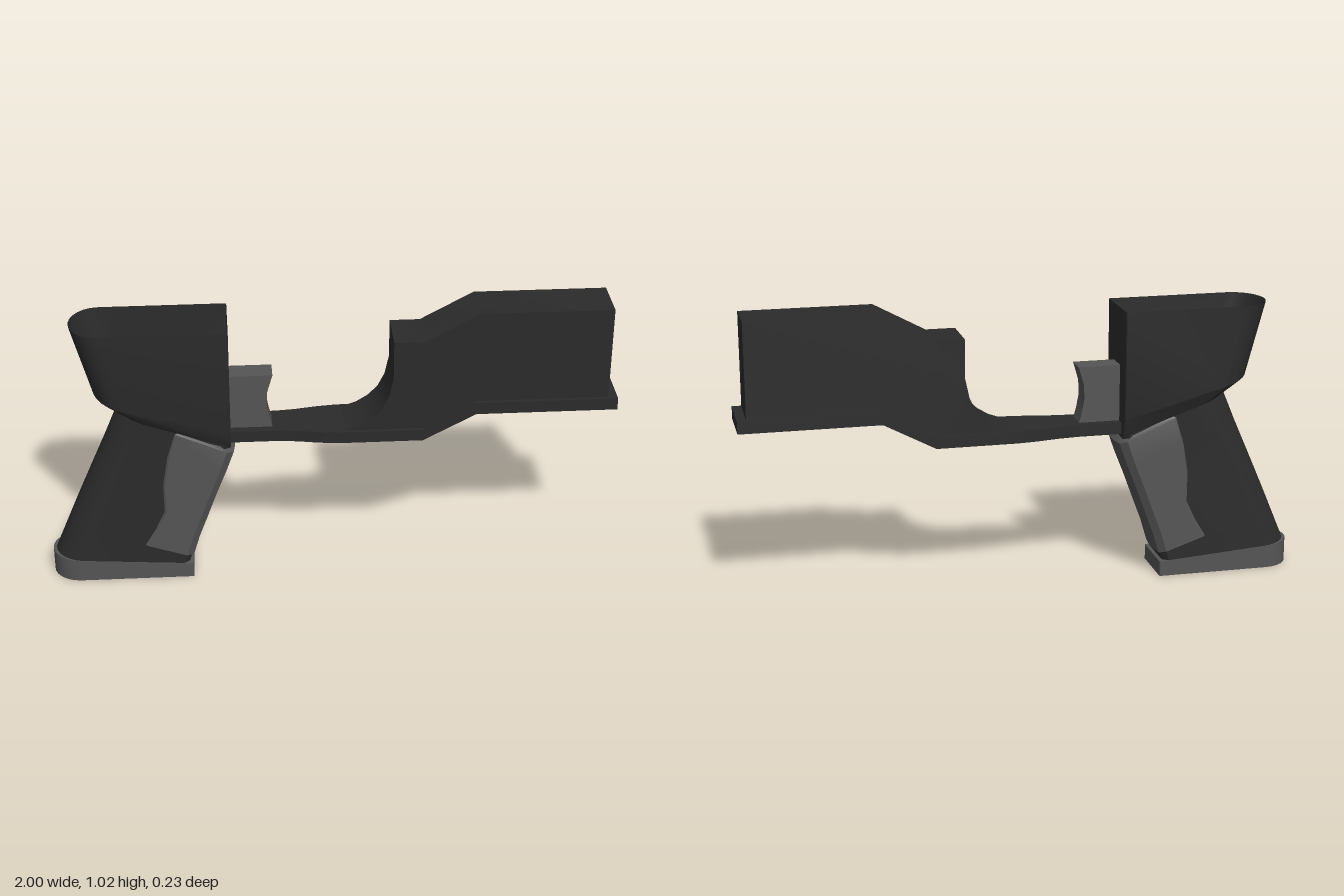
import * as THREE from 'three';
import { toCreasedNormals } from 'three/addons/utils/BufferGeometryUtils.js';

const dark = new THREE.MeshStandardMaterial({ color: 0x2b2b2b, side: THREE.DoubleSide });
const grey = new THREE.MeshStandardMaterial({ color: 0x555555, side: THREE.DoubleSide });

// Skin a list of equal-length rings of [x, y, z]; rings run clockwise seen along the loft.
function loft(rings, { closed = true, caps = false, crease = 0.55 } = {}) {
  const n = rings[0].length, pos = rings.flat(2), idx = [];
  for (let i = 0; i < rings.length - 1; i++) {
    for (let j = 0; j < (closed ? n : n - 1); j++) {
      const a = i * n + j, b = i * n + (j + 1) % n;
      idx.push(a, b, a + n, b, b + n, a + n);
    }
  }
  if (caps) {
    [0, rings.length - 1].forEach((r) => {
      const c = pos.length / 3;
      for (let k = 0; k < 3; k++) pos.push(rings[r].reduce((s, p) => s + p[k], 0) / n);
      for (let j = 0; j < n; j++) {
        const a = r * n + j, b = r * n + (j + 1) % n;
        if (r === 0) idx.push(c, b, a);
        else idx.push(c, a, b);
      }
    });
  }
  const geo = new THREE.BufferGeometry();
  geo.setAttribute('position', new THREE.Float32BufferAttribute(pos, 3));
  geo.setIndex(idx);
  return toCreasedNormals(geo, crease);
}

// D-shaped slanted ring: round at the rear (-x), flat at the front with small chamfers.
function dRing([xr, yr, xf, yf, w, depth, chamfer = 0.003]) {
  const pts = [[xf, w - chamfer], [xf - chamfer, w]];
  for (let i = 0; i <= 12; i++) {
    const t = (i / 12) * Math.PI;
    pts.push([xr + depth * (1 - Math.sin(t)), w * Math.cos(t)]);
  }
  pts.push([xf - chamfer, -w], [xf, -w + chamfer]);
  return pts.map(([x, z]) => [x, yr + (yf - yr) * (x - xr) / (xf - xr), z]);
}

// U-shaped ring that wraps the front of the grip.
function uRing([xr, yr, xf, yf, w]) {
  const half = [[xr, w - 0.015], [xr + 0.012, w], [xf - 0.03, w], [xf - 0.006, w - 0.02], [xf, 0.03]];
  const pts = [...half.map(([x, z]) => [x, -z]), ...half.slice().reverse()];
  return pts.map(([x, z]) => [x, yr + (yf - yr) * (x - xr) / (xf - xr), z]);
}

// Side profile extruded symmetrically about z = 0.
function slab(points, halfWidth) {
  const shape = new THREE.Shape(points.map(([x, y]) => new THREE.Vector2(x, y)));
  const geo = new THREE.ExtrudeGeometry(shape, { depth: 2 * halfWidth, bevelEnabled: false });
  geo.translate(0, 0, -halfWidth);
  return toCreasedNormals(geo, 0.5);
}

export function createModel() {
  const group = new THREE.Group();
  const add = (name, geo, material) => {
    const mesh = new THREE.Mesh(geo, material);
    mesh.name = name;
    group.add(mesh);
  };

  // Open-topped rear housing: [rear x, rear y, front x, front y, half width, rear rounding]
  add('rearHousing', loft([
    [-0.89, 0.99, -0.35, 0.99, 0.115, 0.1],
    [-0.82, 0.73, -0.35, 0.60, 0.115, 0.1],
    [-0.74, 0.67, -0.35, 0.535, 0.096, 0.1],
  ].map(dRing), { crease: 0.4 }), dark);

  // Hollow raked grip
  add('grip', loft([
    [-0.74, 0.67, -0.35, 0.535, 0.096, 0.1, 0.02],
    [-0.79, 0.55, -0.37, 0.47, 0.093, 0.1, 0.02],
    [-0.856, 0.40, -0.415, 0.36, 0.092, 0.1, 0.02],
    [-0.908, 0.28, -0.45, 0.26, 0.092, 0.1, 0.02],
    [-0.99, 0.085, -0.51, 0.05, 0.094, 0.1, 0.02],
  ].map(dRing)), dark);

  // Raised pad around the front of the grip
  add('gripPad', loft([
    [-0.535, 0.612, -0.385, 0.56, 0.09],
    [-0.552, 0.60, -0.335, 0.505, 0.1],
    [-0.58, 0.50, -0.362, 0.43, 0.1],
    [-0.598, 0.39, -0.398, 0.34, 0.1],
    [-0.597, 0.28, -0.435, 0.24, 0.1],
    [-0.63, 0.21, -0.465, 0.16, 0.1],
    [-0.67, 0.145, -0.488, 0.083, 0.1],
    [-0.655, 0.135, -0.51, 0.075, 0.088],
  ].map(uRing), { closed: false, crease: 0.45 }), grey);

  // Base plate of the grip
  add('gripBase', loft([
    [-1, 0.09, -0.495, 0.055, 0.096, 0.1],
    [-1, 0, -0.495, 0, 0.096, 0.1],
  ].map(dRing), { caps: true }), grey);

  // Trigger with a concave front
  add('trigger', slab([
    [-0.39, 0.57], [-0.2, 0.57], [-0.213, 0.62], [-0.222, 0.67],
    [-0.219, 0.72], [-0.2, 0.785], [-0.39, 0.785],
  ], 0.04), grey);

  // Lower rail: [x, bottom, top, half width]
  add('lowerRail', loft([
    [-0.47, 0.54, 0.582, 0.07],
    [-0.19, 0.54, 0.582, 0.07],
    [-0.12, 0.54, 0.582, 0.077],
    [-0.04, 0.54, 0.582, 0.092],
    [0.03, 0.54, 0.582, 0.1],
    [0.32, 0.54, 0.582, 0.1],
    [0.505, 0.638, 0.682, 0.1],
    [1, 0.638, 0.682, 0.1],
  ].map(([x, b, t, w]) => [[x, t, -w], [x, t, w], [x, b, w], [x, b, -w]]),
  { caps: true, crease: 0.3 }), dark);

  // Solid fore body with a scooped rear
  add('foreBody', slab([
    [0.03, 0.575], [0.1, 0.6], [0.14, 0.625], [0.175, 0.66], [0.2, 0.71], [0.215, 0.78],
    [0.215, 0.92], [0.32, 0.92], [0.505, 1.02], [0.968, 1.02], [0.968, 0.67],
    [0.505, 0.67], [0.32, 0.57],
  ], 0.086), dark);

  return group;
}
